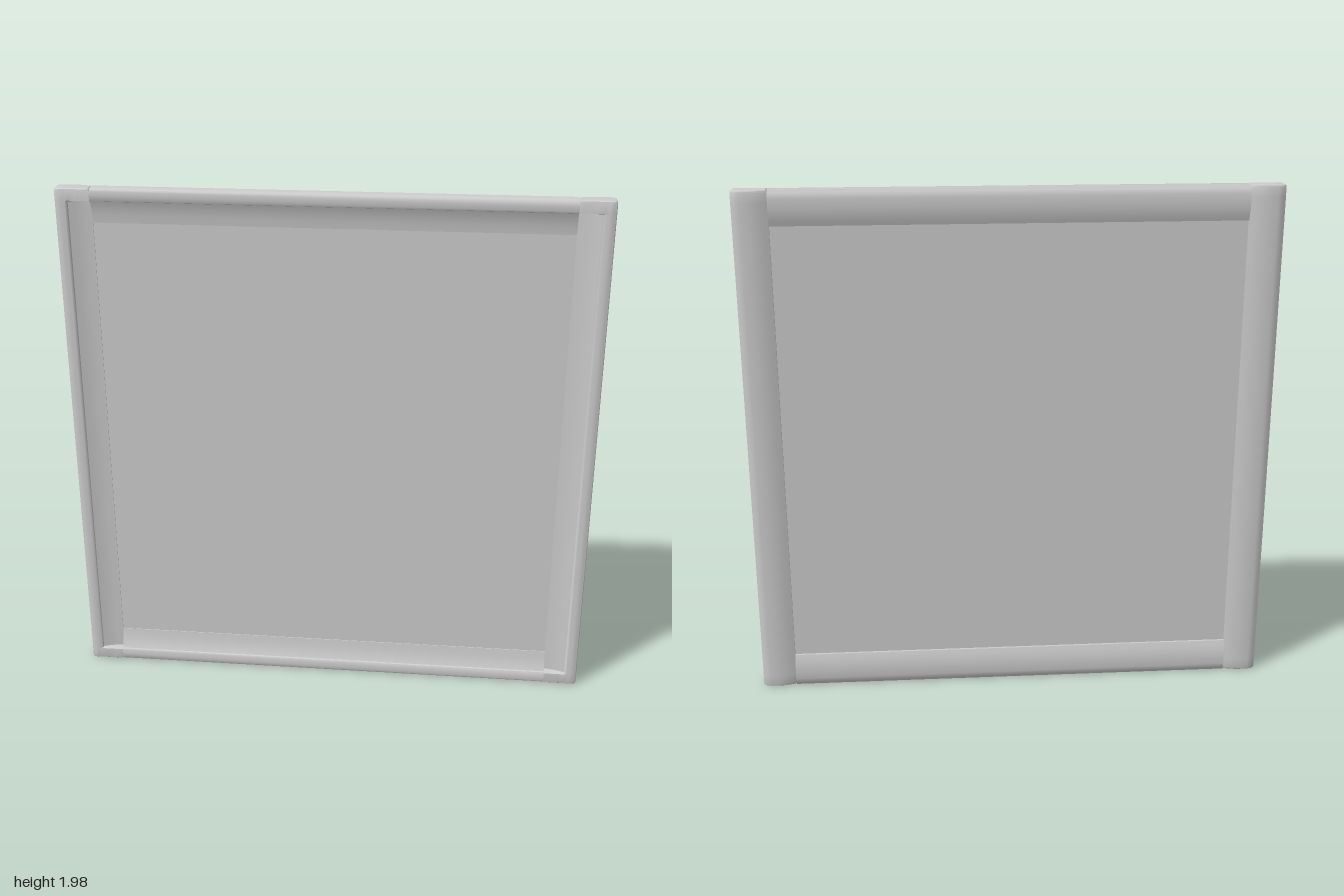
import * as THREE from 'three';
import { toCreasedNormals } from 'three/addons/utils/BufferGeometryUtils.js';

const WIDTH = 2, HEIGHT = 1.98, BAR = 0.13;

// Bar cross-section as [distance inward, z]; the front slopes down to the panel.
const recessed = [
  [0, -0.022], [0, 0.024], [0.003, 0.031], [0.01, 0.035], [0.025, 0.035], [0.04, 0.034], [0.046, 0.031],
  [0.048, 0.025], [0.075, 0.015], [0.1, 0.009], [BAR, 0.005],
  [BAR, -0.02], [0.11, -0.027], [0.085, -0.033], [0.06, -0.035], [0.03, -0.034], [0.01, -0.03],
];
// Same section with the front left at full height, for the closed ends of the stiles.
const full = recessed.map(([u, z], i) => (i >= 5 && i <= 10 ? [u, 0.034] : [u, z]));

// Joins matching cross-sections [y, profile, inset] along y and caps both ends.
function loft(sections) {
  const rings = sections.map(([y, profile, inset]) => profile.map(([u, z]) => [
    BAR / 2 + (u - BAR / 2) * (1 - inset), y, z * (1 - inset * 2)]));
  const pos = [];
  const n = rings[0].length;
  const centre = (y) => [BAR / 2, y, -0.005];
  const first = rings[0], last = rings[rings.length - 1];
  for (let j = 0; j < n; j++) {
    const k = (j + 1) % n;
    for (let i = 0; i < rings.length - 1; i++) {
      const a = rings[i][j], b = rings[i][k], c = rings[i + 1][k], d = rings[i + 1][j];
      pos.push(...a, ...b, ...c, ...a, ...c, ...d);
    }
    pos.push(...centre(first[0][1]), ...first[k], ...first[j]);
    pos.push(...centre(last[0][1]), ...last[j], ...last[k]);
  }
  const geometry = new THREE.BufferGeometry();
  geometry.setAttribute('position', new THREE.Float32BufferAttribute(pos, 3));
  return toCreasedNormals(geometry, 0.6);
}

export function createModel() {
  const model = new THREE.Group();
  model.name = 'framedPanel';
  const material = new THREE.MeshStandardMaterial({ color: 0xcccccc });

  // Each bar is turned about the frame's centre; its outer edge lies at the given distance.
  function addBar(name, geometry, distance, angle) {
    const pivot = new THREE.Group();
    pivot.name = name;
    pivot.position.y = HEIGHT / 2;
    pivot.rotation.z = angle;
    const mesh = new THREE.Mesh(geometry, material);
    mesh.name = name + 'Bar';
    mesh.position.x = -distance;
    pivot.add(mesh);
    model.add(pivot);
  }

  // Full-height stiles with closed, slightly rounded ends
  const h = HEIGHT / 2;
  const end = [[h, full, 0.08], [h - 0.003, full, 0.025], [h - 0.009, full, 0],
    [h - 0.045, full, 0], [h - 0.05, recessed, 0]];
  const stile = loft([...end.map(([y, p, s]) => [-y, p, s]), ...end.slice().reverse()]);
  addBar('rightStile', stile, WIDTH / 2, 0);
  addBar('leftStile', stile, WIDTH / 2, Math.PI);

  // Rails fitted between the stiles, a touch slimmer
  const half = WIDTH / 2 - BAR;
  const slim = recessed.map(([u, z]) => [u, z * 0.95]);
  const rail = loft([[-half, slim, 0], [half, slim, 0]]);
  addBar('topRail', rail, h, -Math.PI / 2);
  addBar('bottomRail', rail, h, Math.PI / 2);

  // Thin panel, let into the bars
  const panel = new THREE.Mesh(
    new THREE.BoxGeometry(WIDTH - 2 * BAR + 0.02, HEIGHT - 2 * BAR + 0.02, 0.012), material);
  panel.name = 'panel';
  panel.position.set(0, h, -0.004);
  model.add(panel);
  return model;
}
